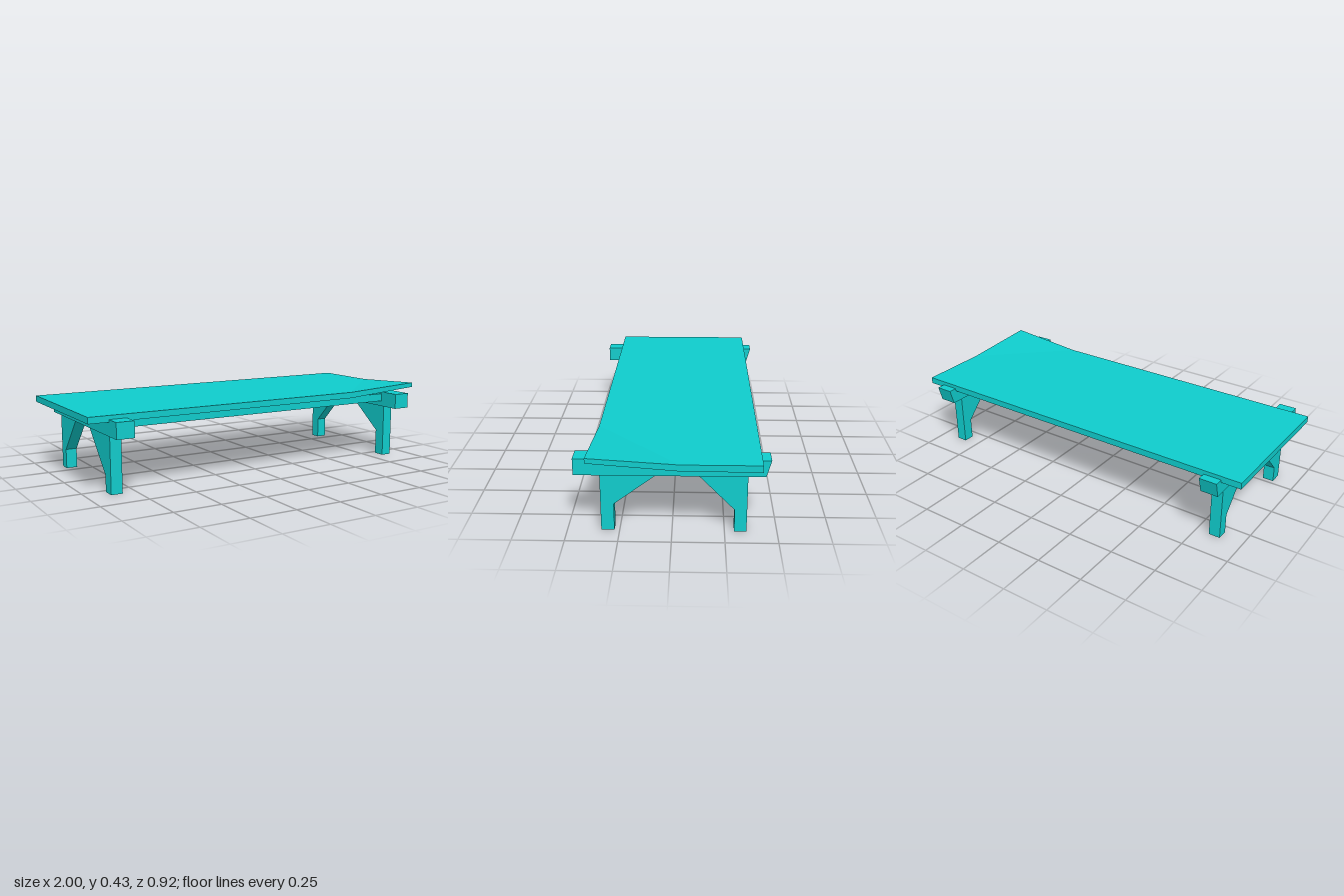
import * as THREE from 'three';

const teal = new THREE.MeshStandardMaterial({ color: 0x0fcccc });
teal.name = 'teal paint';

function named(name, geometry) {
  const mesh = new THREE.Mesh(geometry, teal);
  mesh.name = name;
  return mesh;
}

// Side profile of [z, y] points, extruded along x from x0 to x1
function sideProfile(points, x0, x1) {
  const shape = new THREE.Shape(points.map(([z, y]) => new THREE.Vector2(-z, y)));
  return new THREE.ExtrudeGeometry(shape, { depth: x1 - x0, bevelEnabled: false })
    .rotateY(Math.PI / 2)
    .translate(x0, 0, 0);
}

// Flat plank whose front corner is bent upwards along a diagonal crease
function warpedPlank() {
  const rim = [ // x, z, bottom y, top y; counter-clockwise from above
    [-1, 0.372, 0.365, 0.398], [0.56, 0.372, 0.365, 0.398], [1, 0.39, 0.4, 0.425],
    [1, -0.04, 0.366, 0.398], [1, -0.415, 0.364, 0.398], [-1, -0.415, 0.364, 0.398],
  ];
  const low = rim.map(([x, z, y]) => [x, y, z]);
  const high = rim.map(([x, z, , y]) => [x, y, z]);
  const out = [];
  const tri = (a, b, c) => out.push(...a, ...b, ...c);
  for (const [a, b, c] of [[1, 2, 3], [0, 1, 3], [0, 3, 4], [0, 4, 5]]) {
    tri(high[a], high[b], high[c]);
    tri(low[c], low[b], low[a]);
  }
  rim.forEach((_, i) => {
    const j = (i + 1) % rim.length;
    tri(low[i], low[j], high[j]);
    tri(low[i], high[j], high[i]);
  });
  const geometry = new THREE.BufferGeometry();
  geometry.setAttribute('position', new THREE.Float32BufferAttribute(out, 3));
  geometry.computeVertexNormals();
  return geometry;
}

// Leg with its diagonal brace: outer z, inner z, knee height, brace end z
function bracedLeg(outer, inner, knee, reach, x0, x1) {
  const top = 0.3;
  return sideProfile(
    [[outer, 0], [inner, 0], [inner, knee], [reach, 0.292], [reach, top], [outer, top]], x0, x1);
}

export function createModel() {
  const group = new THREE.Group();
  group.name = 'lowTable';

  group.add(named('tabletop', warpedPlank()));

  // Panel under the tabletop
  const panel = new THREE.BoxGeometry(1.79, 0.042, 0.695);
  panel.translate(0.015, 0.346, -0.007);
  group.add(named('underPanel', panel));

  // Trestles: cross beam and two braced legs at each end
  const ends = [
    { side: 'right', beam: [-0.895, -0.802], leg: [-0.882, -0.822], front: [0.343, 0.085], backKnee: 0.105 },
    { side: 'left', beam: [0.812, 0.905], leg: [0.835, 0.893], front: [0.338, 0.14], backKnee: 0.115 },
  ];
  for (const { side, beam, leg, front, backKnee } of ends) {
    const trestle = new THREE.Group();
    trestle.name = side + 'Trestle';
    const beamProfile = [[0.46, 0.295], [-0.437, 0.295], [-0.46, 0.378], [0.46, 0.378]];
    trestle.add(
      named('crossBeam', sideProfile(beamProfile, ...beam)),
      named('frontLeg', bracedLeg(front[0], 0.275, front[1], 0.075, ...leg)),
      named('backLeg', bracedLeg(-0.355, -0.296, backKnee, -0.125, ...leg)),
    );
    group.add(trestle);
  }
  return group;
}
